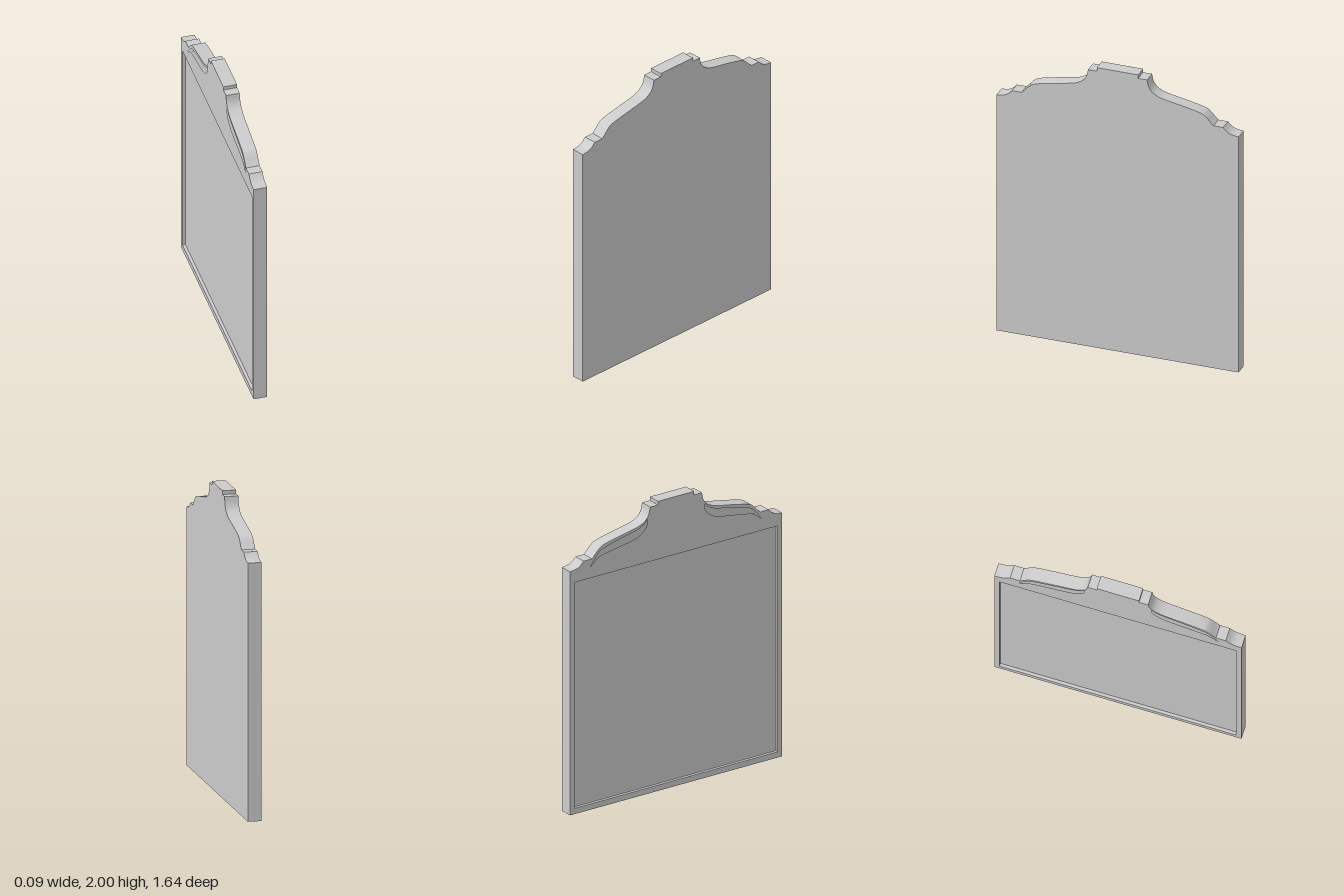
import * as THREE from 'three';
import { toCreasedNormals } from 'three/addons/utils/BufferGeometryUtils.js';

const HALF = 0.045;   // half the slab thickness
const CARVE = 0.03;   // depth of the scroll grooves
const RECESS = 0.02;  // depth of the inscription panel
const PANEL = { w: 1.57, y0: 0.04, y1: 1.6 };

const smooth = (pts, n) =>
  new THREE.SplineCurve(pts.map(([u, v]) => new THREE.Vector2(u, v))).getPoints(n);
const mirror = (pts) => pts.map((p) => new THREE.Vector2(-p.x, p.y)).reverse();

// Stepped, S-curved outline of the headstone
function outline() {
  const half = [
    new THREE.Vector2(0.14, 2), new THREE.Vector2(0.14, 1.975),
    ...smooth([[0.2, 1.975], [0.21, 1.93], [0.235, 1.893], [0.28, 1.867], [0.34, 1.852],
      [0.43, 1.835], [0.56, 1.806], [0.6, 1.782], [0.625, 1.755], [0.65, 1.73]], 30),
    ...smooth([[0.715, 1.73], [0.74, 1.705], [0.77, 1.689], [0.82, 1.682]], 8),
    new THREE.Vector2(0.82, 0),
  ];
  return new THREE.Shape([...half, ...mirror(half)]);
}

// Crescent groove that follows the shoulder curve
function groove() {
  const upper = smooth([[0.222, 1.895], [0.25, 1.865], [0.3, 1.842], [0.38, 1.824], [0.5, 1.797],
    [0.57, 1.776], [0.61, 1.745], [0.663, 1.678]], 20);
  const lower = smooth([[0.663, 1.678], [0.63, 1.705], [0.59, 1.733], [0.48, 1.755], [0.32, 1.783],
    [0.25, 1.82], [0.222, 1.86]], 20);
  return [...upper, ...lower.slice(1)];
}

// Extrude a shape drawn in (z, y) along x, from x0 to x1
function slab(shape, x0, x1, name, material) {
  const geo = new THREE.ExtrudeGeometry(shape, { depth: x1 - x0, bevelEnabled: false });
  geo.rotateY(-Math.PI / 2).translate(x1, 0, 0);
  const mesh = new THREE.Mesh(toCreasedNormals(geo, 0.2), material);
  mesh.name = name;
  return mesh;
}

export function createModel() {
  const stone = new THREE.MeshStandardMaterial({ color: 0xcccccc });
  const group = new THREE.Group();
  group.name = 'headstone';

  // Plain rear slab
  group.add(slab(outline(), -HALF + CARVE, HALF, 'rearSlab', stone));

  // Carved layer with two scroll grooves and the panel opening
  const face = outline();
  const scroll = groove();
  const w = PANEL.w / 2;
  const opening = [[-w, PANEL.y0], [w, PANEL.y0], [w, PANEL.y1], [-w, PANEL.y1]]
    .map(([u, v]) => new THREE.Vector2(u, v));
  for (const hole of [scroll, mirror(scroll), opening]) face.holes.push(new THREE.Path(hole));
  group.add(slab(face, -HALF, -HALF + CARVE, 'carvedFace', stone));

  // Recessed inscription panel
  group.add(slab(new THREE.Shape(opening), -HALF + RECESS, -HALF + CARVE, 'recessedPanel', stone));

  return group;
}
